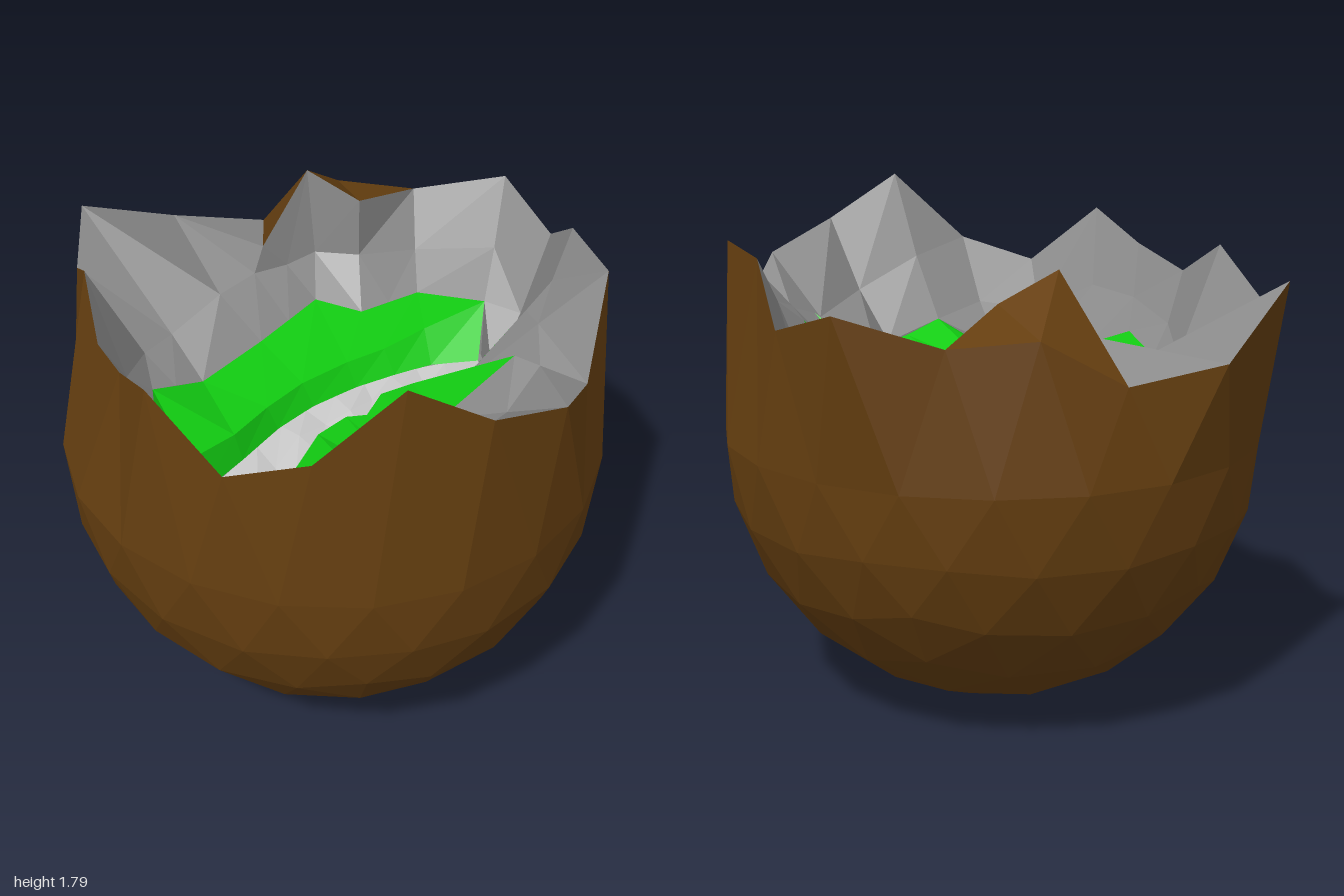
import * as THREE from 'three';

const V = (p) => new THREE.Vector3(...p);
const mat = (color) => new THREE.MeshStandardMaterial({ color, flatShading: true, side: THREE.DoubleSide });
const BROWN = mat(0x663f10), GREY = mat(0x8c8c8c), GREEN = mat(0x12cc12), PALE = mat(0xcccccc);

// Faceted surface through rows of points with equal counts
function loft(name, rows, material, closed = false) {
  const n = rows[0].length, pos = [], idx = [];
  rows.forEach((r) => r.forEach((p) => pos.push(p.x, p.y, p.z)));
  for (let j = 0; j < rows.length - 1; j++) {
    for (let i = 0; i < (closed ? n : n - 1); i++) {
      const a = j * n + i, b = j * n + (i + 1) % n, c = a + n, d = b + n;
      idx.push(a, c, b, b, c, d);
    }
  }
  const g = new THREE.BufferGeometry();
  g.setAttribute('position', new THREE.Float32BufferAttribute(pos, 3));
  g.setIndex(idx);
  const flat = g.toNonIndexed();
  flat.computeVertexNormals();
  const mesh = new THREE.Mesh(flat, material);
  mesh.name = name;
  return mesh;
}

// Lower half of a faceted ball, standing on one vertex
function bowl() {
  const ball = new THREE.IcosahedronGeometry(1, 3);
  ball.rotateZ(-Math.atan(2 / (1 + Math.sqrt(5))));
  const p = ball.attributes.position, keep = [];
  for (let i = 0; i < p.count; i += 3) {
    if (p.getY(i) + p.getY(i + 1) + p.getY(i + 2) > -0.01) continue;
    for (let k = i; k < i + 3; k++) keep.push(p.getX(k), p.getY(k), p.getZ(k));
  }
  const g = new THREE.BufferGeometry();
  g.setAttribute('position', new THREE.Float32BufferAttribute(keep, 3));
  g.scale(0.955, 0.975, 0.975).translate(0, 0.975, 0.02);
  g.computeVertexNormals();
  const mesh = new THREE.Mesh(g, BROWN);
  mesh.name = 'shellBottom';
  return mesh;
}

export function createModel() {
  const model = new THREE.Group();
  model.name = 'brokenShell';

  // Jagged rim, from the left side round by the front
  const rim = [
    [0.95, 1.45, -0.12], [0.86, 1.64, 0.15], [0.8, 1.66, 0.47], [0.6, 1.41, 0.7], [0.38, 1.53, 0.92],
    [0.07, 1.63, 1], [-0.2, 1.79, 0.95], [-0.46, 1.53, 0.85], [-0.68, 1.44, 0.68], [-0.83, 1.66, 0.45],
    [-0.82, 1.55, 0.18], [-0.8, 1.48, -0.1], [-0.75, 1.61, -0.35], [-0.69, 1.44, -0.65], [-0.59, 1.56, -0.86],
    [-0.19, 1.35, -1], [0.14, 1.3, -0.9], [0.41, 1.46, -0.8], [0.66, 1.44, -0.65], [0.93, 1.54, -0.43],
  ].map(V);
  const equator = rim.map((_, i) => {
    const a = i * Math.PI / 10;
    return new THREE.Vector3(0.955 * Math.cos(a), 0.975, 0.02 + 0.975 * Math.sin(a));
  });
  model.add(bowl(), loft('shellSide', [rim, equator], BROWN, true));

  // Piece of the shell bent inwards at the back
  const flap = [[0, 1.39, -0.58], [0.2, 1.64, -0.62], [0.36, 1.53, -0.51]].map(V);
  model.add(loft('bentFlap', [[...flap, rim[18]], [rim[16], rim[17], rim[18], rim[18]]], BROWN));
  model.add(loft('flapSide', [[rim[15], rim[16]], [flap[0], flap[0]]], GREY));

  // Inner wall, from the rim down to the floor and closed below it
  const innerRim = [...rim.slice(0, 16), ...flap, rim[18], rim[19]];
  const foot = [
    [0.64, 1.02, 0.04], [0.65, 1.4, 0.22], [0.39, 1.14, 0.21], [0.49, 1.38, 0.42], [0.25, 1.15, 0.36],
    [0.02, 1.18, 0.67], [-0.2, 1.25, 0.65], [-0.4, 1.13, 0.53], [-0.58, 1.15, 0.45], [-0.62, 1.17, 0.23],
    [-0.67, 1.24, 0.05], [-0.6, 1.19, -0.17], [-0.5, 1.15, -0.21], [-0.38, 1.1, -0.26], [-0.1, 1.12, -0.38],
    [0.04, 1.13, -0.44], [0.18, 1.15, -0.51], [0.3, 1.15, -0.36], [0.42, 1.15, -0.375], [0.55, 1.15, -0.39],
    [0.71, 1.2, -0.16],
  ].map(V);
  const middle = innerRim.map((p, i) => p.clone().lerp(foot[i], 0.5).add(V([0, -0.04, 0])));
  const setMiddle = {
    1: [0.76, 1.48, 0.2], 2: [0.62, 1.43, 0.35], 3: [0.53, 1.39, 0.52], 4: [0.35, 1.32, 0.62],
    12: [-0.56, 1.22, -0.35], 13: [-0.42, 1.2, -0.45], 14: [-0.2, 1.27, -0.52], 15: [-0.04, 1.29, -0.57],
    16: [0.1, 1.28, -0.59], 17: [0.22, 1.3, -0.6], 18: [0.36, 1.3, -0.51],
  };
  for (const i in setMiddle) middle[i] = V(setMiddle[i]);
  const base = foot.map((p) => new THREE.Vector3(p.x, 0.96, p.z));
  const centre = foot.map(() => new THREE.Vector3(0, 0.96, 0.05));
  model.add(loft('innerWall', [innerRim, middle, foot, base, centre], GREY, true));

  // Green bank at the back of the stream
  const backLip = [
    [-0.62, 1.17, 0.23], [-0.42, 1.14, 0.13], [-0.25, 1.13, 0.02], [-0.08, 1.13, -0.06],
    [0.12, 1.13, -0.11], [0.28, 1.13, -0.13], [0.46, 1.15, -0.16], [0.71, 1.2, -0.16],
  ].map(V);
  const backEdge = [
    [-0.58, 1.04, 0.25], [-0.4, 1.04, 0.15], [-0.22, 1.04, 0.04], [-0.05, 1.04, -0.03],
    [0.14, 1.04, -0.07], [0.3, 1.04, -0.08], [0.45, 1.04, -0.08], [0.62, 1.04, -0.03],
  ].map(V);
  const backFoot = [10, 11, 13, 14, 16, 17, 19, 20].map((i) => foot[i]);
  model.add(loft('backBank', [backFoot, backLip, backEdge], GREEN));

  // Green bank at the front, with two wedges climbing the wall
  const frontEdge = [
    [-0.58, 1.04, 0.25], [-0.4, 1.04, 0.5], [-0.3, 1.04, 0.36], [-0.15, 1.04, 0.22], [-0.02, 1.04, 0.17],
    [0.05, 1.04, 0.19], [0.15, 1.04, 0.1], [0.28, 1.04, 0.09], [0.35, 1.04, 0.15], [0.39, 1.04, 0.19],
    [0.58, 1.04, 0.08],
  ].map(V);
  const frontLip = frontEdge.map((p) => p.clone().add(V([0, 0.08, 0.005])));
  const frontFoot = [foot[8], foot[7], V([-0.3, 1.18, 0.6]), foot[6], V([-0.06, 1.2, 0.66]), foot[5],
    V([0.14, 1.16, 0.51]), foot[4], foot[3], foot[2], foot[1]];
  model.add(loft('frontBank', [frontFoot, frontLip, frontEdge], GREEN));

  // Pale stream bed, slightly rippled
  const far = new THREE.CatmullRomCurve3(backEdge).getPoints(frontEdge.length - 1);
  const mid = far.map((p, i) => p.clone().lerp(frontEdge[i], 0.5).add(V([0, i % 2 ? 0.015 : -0.01, 0])));
  model.add(loft('stream', [far, mid, frontEdge], PALE));

  return model;
}
